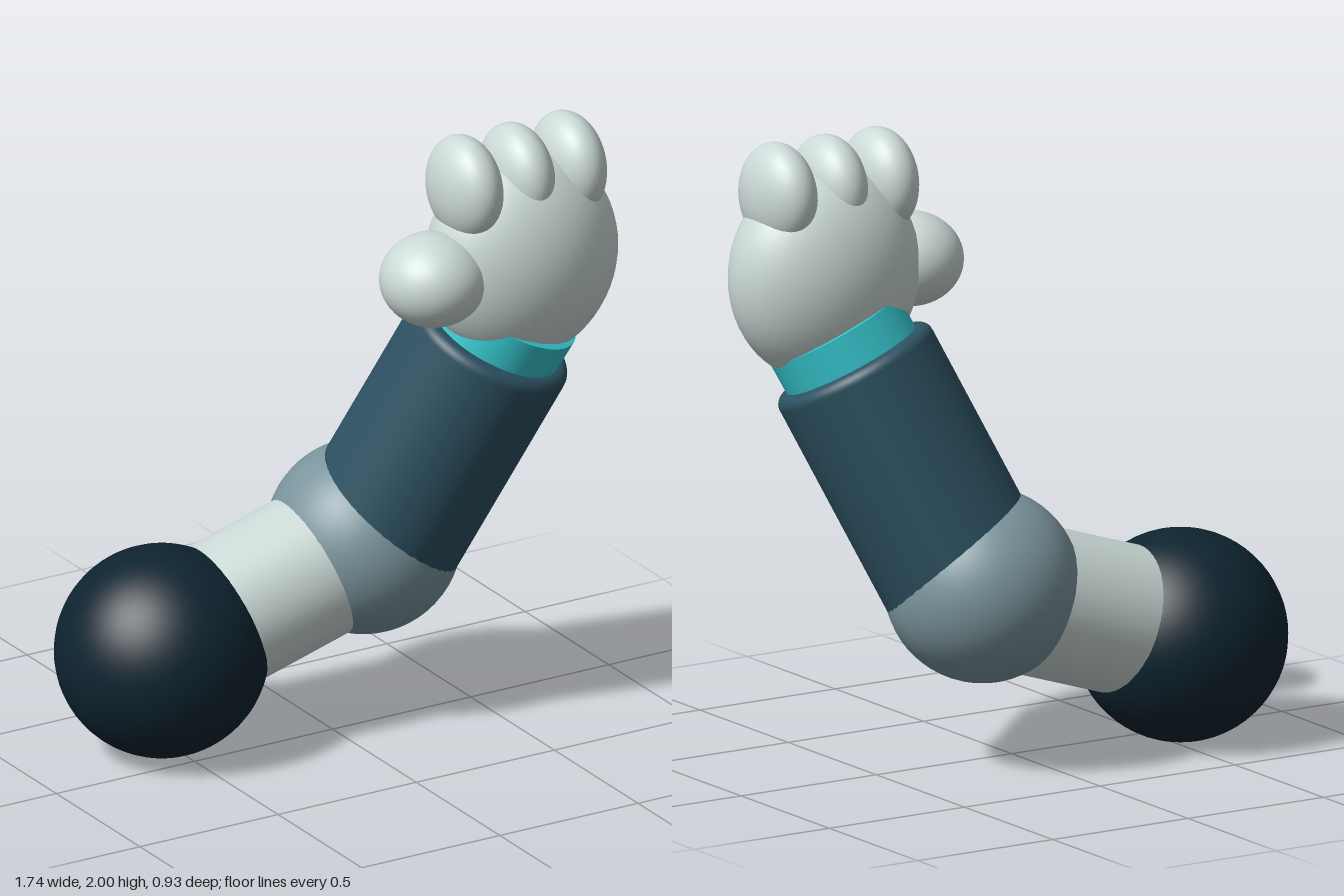
import * as THREE from 'three';

const material = (name, color) => {
  const m = new THREE.MeshStandardMaterial({ color });
  m.name = name;
  return m;
};

export function createModel() {
  const model = new THREE.Group();
  model.name = 'arm';

  const pale = material('pale grey', 0xcbd9d6);
  const navy = material('dark navy', 0x0e2430);
  const blue = material('slate blue', 0x2d5162);
  const grey = material('blue grey', 0x7b959d);
  const teal = material('bright teal', 0x36c6ce);

  // Sphere scaled to an ellipsoid
  const ellipsoid = (name, mat, center, radii) => {
    const mesh = new THREE.Mesh(new THREE.SphereGeometry(1, 48, 32), mat);
    mesh.name = name;
    mesh.position.set(...center);
    mesh.scale.set(...radii);
    model.add(mesh);
  };

  // Turned solid whose axis runs from one point to another;
  // the profile gets the length and returns [radius, height] pairs
  const limb = (name, mat, from, to, profile) => {
    const a = new THREE.Vector3(...from);
    const dir = new THREE.Vector3(...to).sub(a);
    const points = profile(dir.length()).map(([r, h]) => new THREE.Vector2(r, h));
    const mesh = new THREE.Mesh(new THREE.LatheGeometry(points, 48), mat);
    mesh.name = name;
    mesh.position.copy(a);
    mesh.quaternion.setFromUnitVectors(new THREE.Vector3(0, 1, 0), dir.normalize());
    model.add(mesh);
  };

  // Repeated points keep the end edges crisp
  const tube = (r) => (h) => [[0, 0], [r, 0], [r, 0], [r, h], [r, h], [0, h]];
  const sleeve = (r, b) => (h) => {
    const rim = [];
    for (let i = 0; i <= 6; i++) {
      const t = (i / 6) * Math.PI / 2;
      rim.push([r - b + b * Math.cos(t), h - b + b * Math.sin(t)]);
    }
    return [[0, 0], [r, 0], [r, 0], ...rim, [0, h]];
  };

  // Joints and arm segments
  ellipsoid('shoulder', navy, [-0.54, 0.338, -0.13], [0.334, 0.334, 0.334]);
  limb('upperArm', pale, [-0.54, 0.347, -0.13], [0.17, 0.574, -0.098], tube(0.236));
  ellipsoid('elbow', grey, [0.168, 0.585, -0.092], [0.306, 0.306, 0.306]);
  limb('forearm', blue, [0.197, 0.585, -0.072], [0.483, 1.29, 0.171], sleeve(0.268, 0.035));
  limb('wristBand', teal, [0.44, 1.19, 0.135], [0.525, 1.39, 0.206], tube(0.225));

  // Hand
  ellipsoid('palm', pale, [0.542, 1.567, 0.232], [0.323, 0.343, 0.23]);
  ellipsoid('thumb', pale, [0.21, 1.56, 0.256], [0.168, 0.148, 0.17]);
  for (const x of [0.337, 0.525, 0.712]) {
    ellipsoid('finger', pale, [x, 1.832, 0.232], [0.1, 0.168, 0.166]);
  }

  return model;
}
